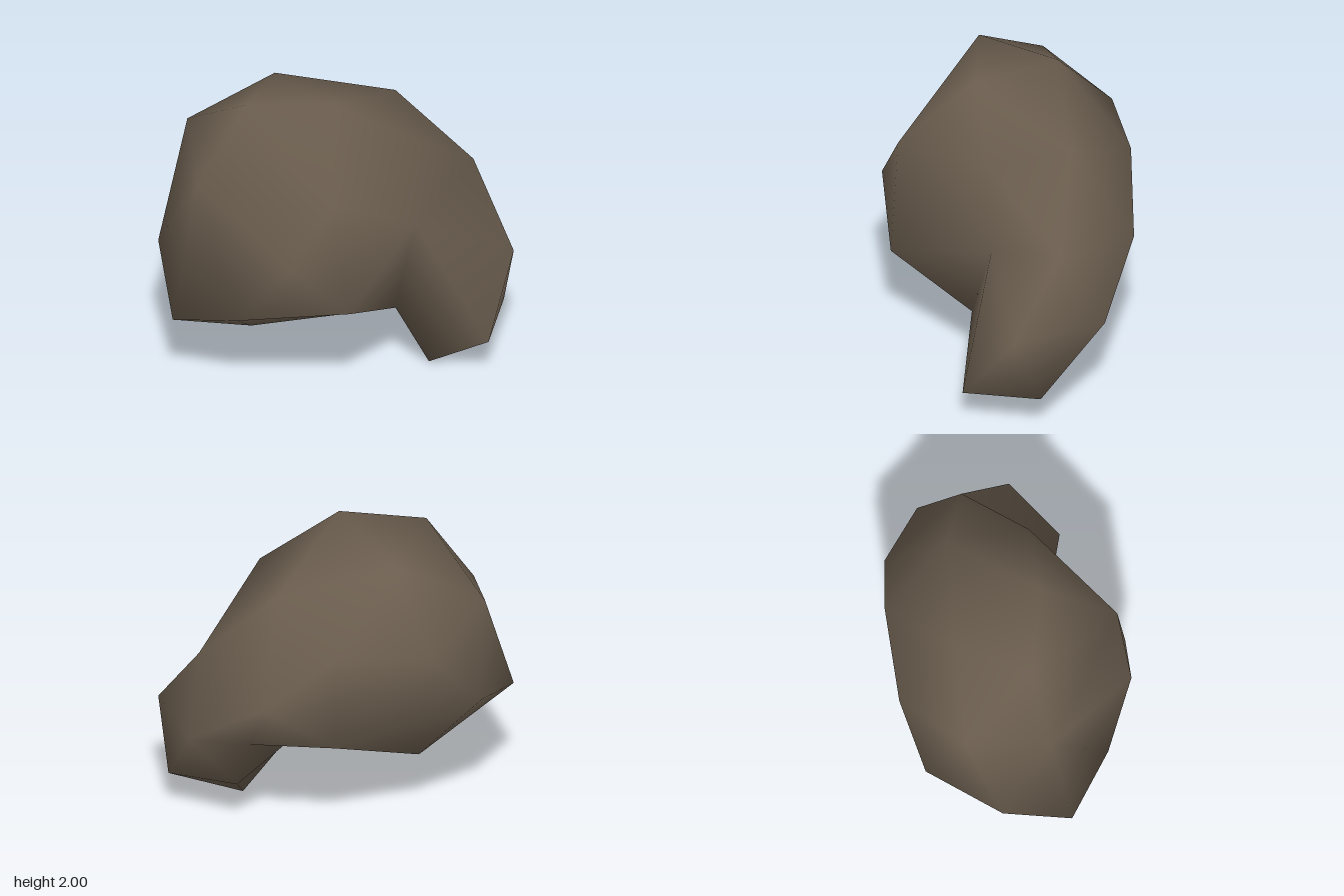
import * as THREE from 'three';
import { mergeVertices } from 'three/addons/utils/BufferGeometryUtils.js';
import { ConvexGeometry } from 'three/addons/geometries/ConvexGeometry.js';

// Control corners of the bent, rounded mass, grouped by region
const crown = [[-0.23, 2, 0.14], [-0.52, 1.97, -0.33], [-0.01, 1.9, -0.47], [0.49, 1.73, 0.11]];
const brow = [[-0.62, 1.54, 0.43], [0.13, 1.7, 0.5], [0.71, 1.27, 0.56], [0.15, 1.05, 0.51]];
const back = [[-0.18, 1.03, -1], [-0.4, 1.61, -0.87], [-0.7, 0.85, -0.88], [0.15, 1.44, -0.84],
  [0.59, 1.49, -0.41], [0.86, 1.13, -0.05], [0.53, 0.8, -0.37]];
const flank = [[-0.8, 1.46, -0.5], [-0.86, 1.12, 0.26], [-0.6, 0.77, 0.54], [-0.94, 0.66, -0.09], [-1, 0.53, -0.55]];
const underside = [[-0.47, 0.3, -0.32], [-0.02, 0.5, 0.48], [0.15, 0.56, 0.2], [0.42, 0.7, 0.02],
  [0.05, 0.5, -0.12], [-0.1, 0.51, -0.57]];
const limb = [[0.98, 0.8, 0.45], [0.62, 0.77, 0.94], [0.265, 0.29, 1], [0.72, 0.3, 0.79],
  [0.23, 0, 0.56], [0.66, 0.36, 0.3], [0.78, 0.78, 0.12]];

// Skin the corners: triangulate their directions on a sphere, then push each one out to its place
function skin(corners, centre) {
  const points = corners.map((c) => new THREE.Vector3(...c));
  const directions = points.map((p) => p.clone().sub(centre).normalize());
  const geometry = new ConvexGeometry(directions);
  const position = geometry.attributes.position;
  const v = new THREE.Vector3();
  for (let i = 0; i < position.count; i++) {
    v.fromBufferAttribute(position, i);
    let best = 0;
    directions.forEach((d, k) => {
      if (d.dot(v) > directions[best].dot(v)) best = k;
    });
    position.setXYZ(i, points[best].x, points[best].y, points[best].z);
  }
  geometry.deleteAttribute('normal');
  const smooth = mergeVertices(geometry);
  smooth.computeVertexNormals();
  return smooth;
}

export function createModel() {
  const group = new THREE.Group();
  const brown = new THREE.MeshStandardMaterial({ color: 0x6a5d4e });
  brown.name = 'dull brown';

  // One continuous body whose limb bends forward and down
  const corners = [...crown, ...brow, ...back, ...flank, ...underside, ...limb];
  const body = new THREE.Mesh(skin(corners, new THREE.Vector3(0.2, 1, 0.15)), brown);
  body.name = 'bentBody';
  group.add(body);
  return group;
}
